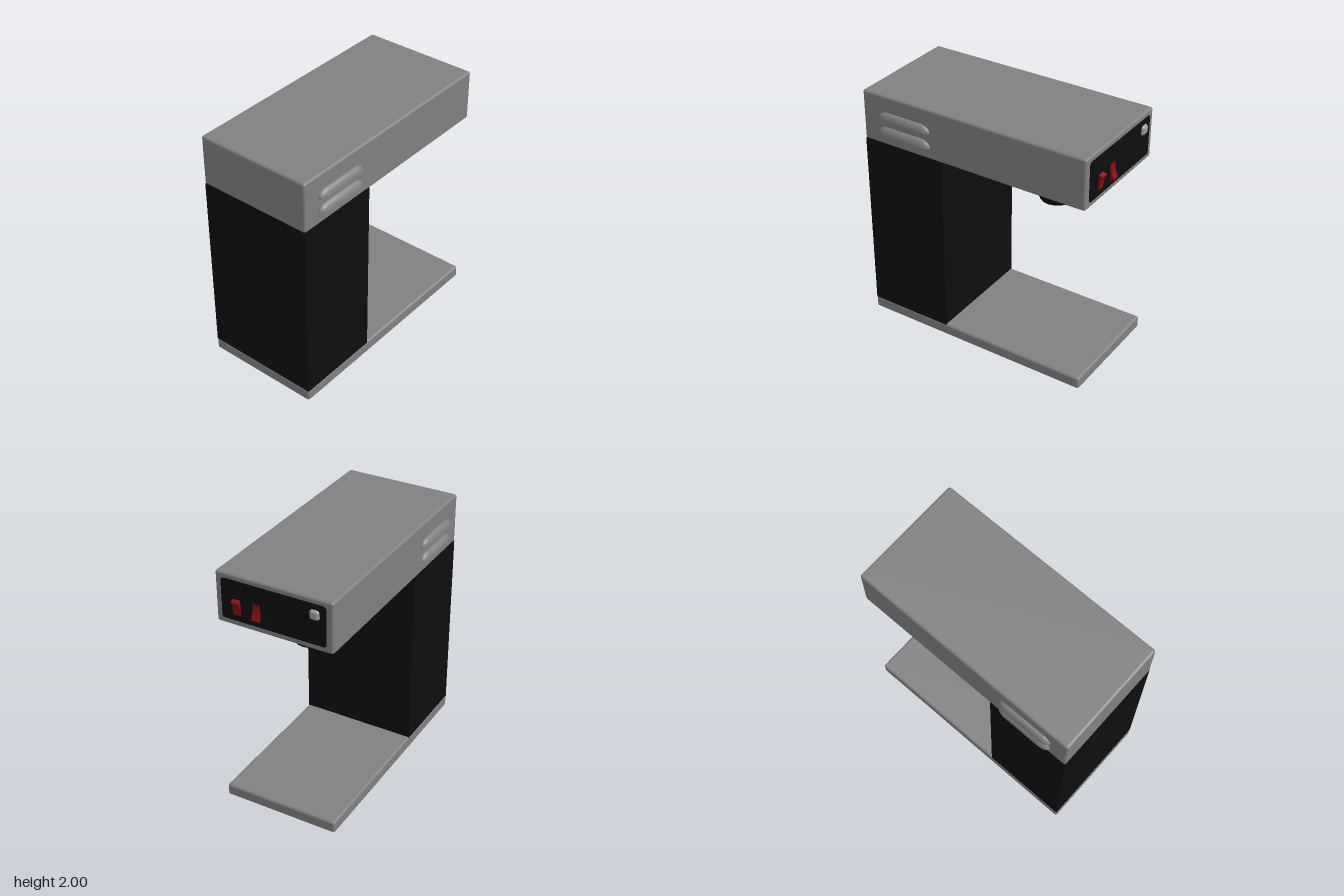
import * as THREE from 'three';
import { RoundedBoxGeometry } from 'three/addons/geometries/RoundedBoxGeometry.js';

const mat = (name, color, side = THREE.FrontSide) => {
  const m = new THREE.MeshStandardMaterial({ color, side });
  m.name = name;
  return m;
};

export function createModel() {
  const model = new THREE.Group();
  model.name = 'coffeeBrewer';
  const grey = mat('bodyGrey', 0x808080, THREE.DoubleSide);
  const black = mat('black', 0x0e0e0e);
  const red = mat('switchRed', 0x8a0f0f);
  const silver = mat('lampSilver', 0x9c9c9c);

  const add = (name, geometry, material, x = 0, y = 0, z = 0, parent = model) => {
    const mesh = new THREE.Mesh(geometry, material);
    mesh.name = name;
    mesh.position.set(x, y, z);
    parent.add(mesh);
    return mesh;
  };

  const X0 = -1, X1 = 0.955, W = X1 - X0, D = 0.96, CX = (X0 + X1) / 2, R = 0.02;

  // Head: softly rounded housing
  add('head', new RoundedBoxGeometry(W, 0.413, D, 3, R), grey, CX, 1.7935, 0);

  // Base: rounded tray turned upside down, its underside open
  const rounded = new RoundedBoxGeometry(W, 0.09 + R, D, 3, R).translate(0, (0.09 - R) / 2, 0);
  const src = rounded.index ? rounded.toNonIndexed() : rounded;
  const p = src.attributes.position, n = src.attributes.normal, pos = [], nor = [];
  for (let i = 0; i < p.count; i += 3) {
    if ((p.getY(i) + p.getY(i + 1) + p.getY(i + 2)) / 3 < 1e-4) continue;
    for (let k = i; k < i + 3; k++) {
      pos.push(p.getX(k), p.getY(k), p.getZ(k));
      nor.push(n.getX(k), n.getY(k), n.getZ(k));
    }
  }
  const tray = new THREE.BufferGeometry();
  tray.setAttribute('position', new THREE.Float32BufferAttribute(pos, 3));
  tray.setAttribute('normal', new THREE.Float32BufferAttribute(nor, 3));
  add('base', tray, grey, CX, 0, 0);

  // Column: reaches slightly through the base top and up to the head
  const colW = 0.712, colBottom = 0.082, colTop = 1.59;
  add('column', new THREE.BoxGeometry(colW, colTop - colBottom, D - 0.006), black,
    X0 + 0.003 + colW / 2, (colTop + colBottom) / 2, 0);

  // Brew funnel under the head
  add('brewFunnel', new THREE.CylinderGeometry(0.249, 0.133, 0.288, 16), black, 0.443, 1.444, 0);

  // Louvres: quarter-round hoods with rounded ends, two on each long side
  const hood = new THREE.SphereGeometry(1, 8, 13, Math.PI / 2, Math.PI / 2).rotateZ(Math.PI / 2);
  hood.scale(0.09, 0.063, 0.042);
  const hp = hood.attributes.position;
  for (let i = 0; i < hp.count; i++) hp.setX(i, hp.getX(i) + Math.sign(hp.getX(i)) * 0.15);
  for (const side of [1, -1]) {
    for (const y of [1.805, 1.68]) {
      const vent = add('louvre', hood, grey, -0.618, y, side * (D / 2 - 0.001));
      if (side < 0) vent.rotation.y = Math.PI;
    }
  }

  // Control panel on the +x end
  const panel = new THREE.Group();
  panel.name = 'controlPanel';
  model.add(panel);
  const plate = (w, h, r, depth) => {
    const s = new THREE.Shape(), a = w / 2, b = h / 2;
    s.moveTo(-a + r, -b);
    s.lineTo(a - r, -b).quadraticCurveTo(a, -b, a, -b + r);
    s.lineTo(a, b - r).quadraticCurveTo(a, b, a - r, b);
    s.lineTo(-a + r, b).quadraticCurveTo(-a, b, -a, b - r);
    s.lineTo(-a, -b + r).quadraticCurveTo(-a, -b, -a + r, -b);
    return new THREE.ExtrudeGeometry(s, { depth, bevelEnabled: false, curveSegments: 4 })
      .rotateY(Math.PI / 2);
  };
  add('panelPlate', plate(0.855, 0.323, 0.025, 0.005), black, X1, 1.797, 0.002, panel);

  // Rocker switches: one pressed up, one pressed down
  const rocker = (flip) => {
    const pts = [[0, -0.065], [0.012, -0.063], [0.02, 0], [0.041, 0.05], [0, 0.065]]
      .map(([x, y]) => new THREE.Vector2(x, flip * y));
    return new THREE.ExtrudeGeometry(new THREE.Shape(pts), { depth: 0.06, bevelEnabled: false })
      .translate(0, 0, -0.03);
  };
  for (const [z, flip] of [[0.295, 1], [0.13, -1]]) {
    add('switchBezel', plate(0.113, 0.168, 0.006, 0.009), black, X1 + 0.004, 1.752, z, panel);
    add('rockerSwitch', rocker(flip), red, X1 + 0.004, 1.755, z, panel);
  }

  // Indicator lamp
  add('indicatorLamp', new RoundedBoxGeometry(0.052, 0.08, 0.08, 4, 0.025), silver,
    X1, 1.875, -0.337, panel);

  return model;
}
